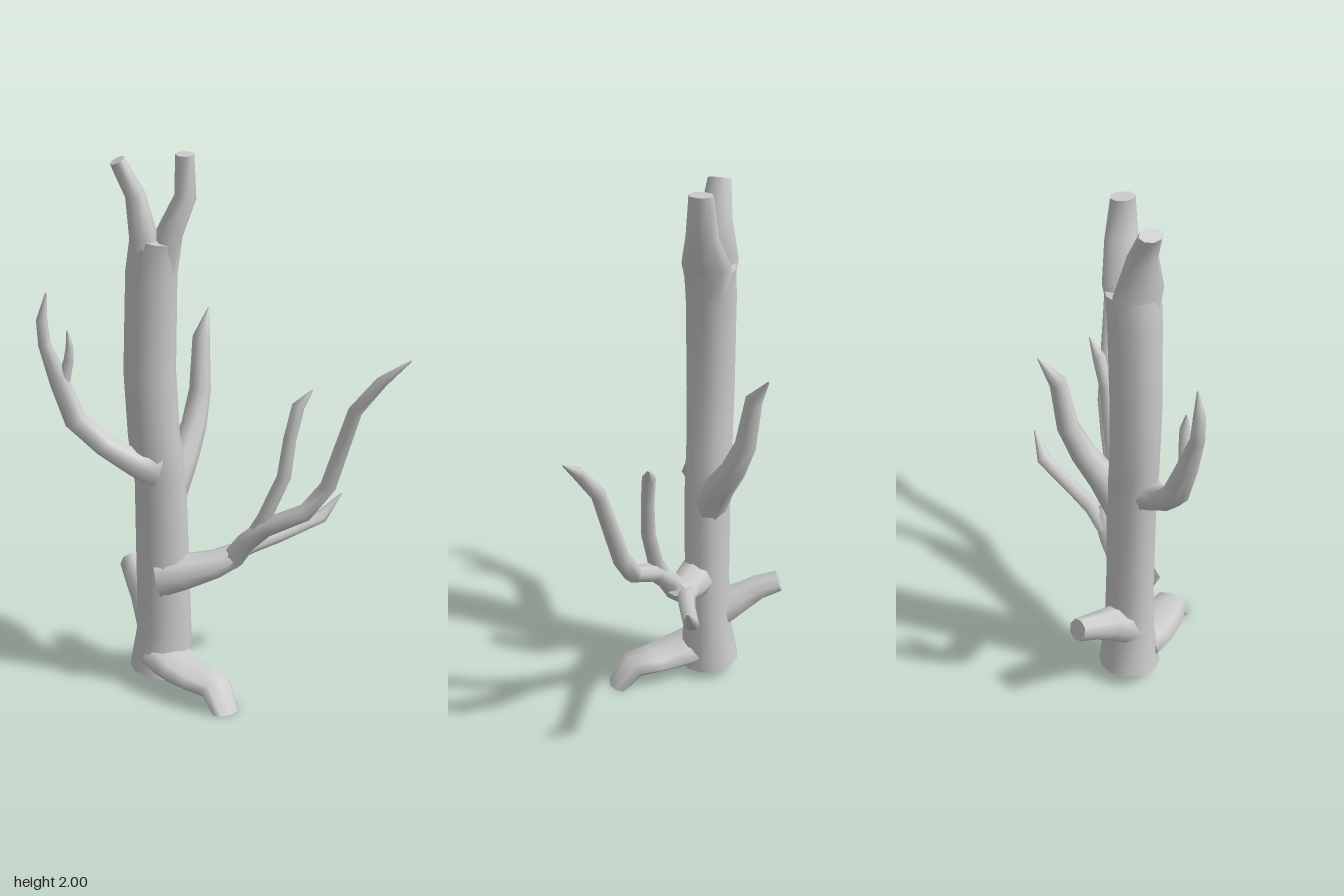
import * as THREE from 'three';
import { mergeGeometries } from 'three/addons/utils/BufferGeometryUtils.js';

const material = new THREE.MeshStandardMaterial({ color: 0xcccccc });

// Tapered limb swept through stations [x, y, z, radius along ref, radius across].
function limb(name, stations, { sides = 8, ref = [0, 0, 1], endDir = null } = {}) {
  const centres = stations.map(s => new THREE.Vector3(s[0], s[1], s[2]));
  const last = centres.length - 1;
  const positions = [], index = [];
  centres.forEach((c, i) => {
    const t = new THREE.Vector3();
    if (i > 0) t.add(c.clone().sub(centres[i - 1]).normalize());
    if (i < last) t.add(centres[i + 1].clone().sub(c).normalize());
    if (i === last && endDir) t.set(...endDir);
    t.normalize();
    const a = new THREE.Vector3(...ref).projectOnPlane(t).normalize();
    const b = t.clone().cross(a);
    const ra = stations[i][3], rb = stations[i][4] ?? ra;
    for (let j = 0; j < sides; j++) {
      const q = (j / sides) * Math.PI * 2;
      const p = c.clone().addScaledVector(a, Math.cos(q) * ra).addScaledVector(b, Math.sin(q) * rb);
      positions.push(p.x, p.y, p.z);
      if (i < last) {
        const k = (j + 1) % sides, lo = i * sides, hi = lo + sides;
        index.push(lo + j, lo + k, hi + k, lo + j, hi + k, hi + j);
      }
    }
  });
  const wall = makeGeometry(positions, index);
  // Flat end caps keep their own vertices so their rims stay crisp.
  const cap = (ring, flip) => {
    const pts = positions.slice(ring * sides * 3, (ring + 1) * sides * 3);
    const tri = [];
    for (let j = 1; j < sides - 1; j++) tri.push(...(flip ? [0, j + 1, j] : [0, j, j + 1]));
    return makeGeometry(pts, tri);
  };
  const mesh = new THREE.Mesh(mergeGeometries([wall, cap(0, true), cap(last, false)]), material);
  mesh.name = name;
  return mesh;
}

function makeGeometry(positions, index) {
  const g = new THREE.BufferGeometry();
  g.setAttribute('position', new THREE.Float32BufferAttribute(positions, 3));
  g.setIndex(index);
  g.computeVertexNormals();
  return g;
}

export function createModel() {
  const tree = new THREE.Group();
  tree.name = 'bareTree';

  // Trunk and its sawn-off fork
  tree.add(limb('trunk', [
    [-0.235, 0.05, -0.035, 0.115, 0.115],
    [-0.22, 0.21, -0.03, 0.092, 0.102],
    [-0.222, 0.42, -0.03, 0.086, 0.098],
    [-0.228, 0.8, -0.028, 0.088, 0.094],
    [-0.25, 0.98, -0.028, 0.088, 0.094],
    [-0.262, 1.22, -0.028, 0.09, 0.094],
    [-0.252, 1.58, -0.03, 0.094, 0.092],
    [-0.235, 1.70, -0.03, 0.096, 0.092],
  ], { sides: 12 }));
  tree.add(limb('forkRight', [
    [-0.275, 1.58, -0.03, 0.07, 0.045],
    [-0.279, 1.72, -0.03, 0.092, 0.05],
    [-0.305, 1.86, -0.03, 0.06, 0.036],
    [-0.365, 1.98, -0.025, 0.043, 0.028],
  ]));
  tree.add(limb('forkLeft', [
    [-0.205, 1.58, -0.03, 0.07, 0.045],
    [-0.188, 1.72, -0.03, 0.092, 0.048],
    [-0.131, 1.85, -0.03, 0.06, 0.039],
    [-0.132, 2.0, -0.025, 0.045, 0.033],
  ]));

  // Right-hand branch with a small twig
  tree.add(limb('rightBranch', [
    [-0.24, 0.86, 0.0, 0.075, 0.08],
    [-0.33, 0.89, 0.01, 0.062, 0.05],
    [-0.43, 0.955, 0.01, 0.058, 0.042],
    [-0.53, 1.05, 0.005, 0.052, 0.042],
    [-0.582, 1.2, 0.025, 0.038, 0.036],
    [-0.63, 1.34, 0.035, 0.028, 0.023],
    [-0.638, 1.43, 0.035, 0.024, 0.02],
    [-0.62, 1.53, 0.035, 0.003],
  ]));
  tree.add(limb('rightTwig', [
    [-0.578, 1.17, 0.02, 0.028],
    [-0.548, 1.28, 0.028, 0.023, 0.018],
    [-0.543, 1.33, 0.028, 0.019, 0.014],
    [-0.55, 1.39, 0.03, 0.003],
  ]));

  // Back branch, rising
  tree.add(limb('backBranch', [
    [-0.2, 0.75, -0.04, 0.07],
    [-0.14, 0.87, -0.1, 0.056],
    [-0.1, 0.97, -0.16, 0.047],
    [-0.076, 1.09, -0.21, 0.04],
    [-0.07, 1.28, -0.24, 0.032],
    [-0.04, 1.375, -0.3, 0.003],
  ], { ref: [1, 0, 0] }));

  // Left bough splitting into three branches
  tree.add(limb('leftBough', [
    [-0.24, 0.43, -0.01, 0.09, 0.085],
    [-0.14, 0.45, 0.0, 0.075, 0.07],
    [-0.03, 0.478, 0.0, 0.07, 0.052],
    [0.05, 0.515, 0.0, 0.06, 0.042],
    [0.09, 0.545, 0.0, 0.035, 0.025],
  ]));
  tree.add(limb('lowBranch', [
    [0.0, 0.495, -0.02, 0.045, 0.035],
    [0.11, 0.53, -0.045, 0.033, 0.028],
    [0.2, 0.55, -0.075, 0.03, 0.025],
    [0.375, 0.602, -0.14, 0.03, 0.025],
    [0.45, 0.69, -0.15, 0.003],
  ]));
  tree.add(limb('longBranch', [
    [0.03, 0.5, 0.01, 0.05, 0.04],
    [0.08, 0.575, 0.035, 0.042, 0.038],
    [0.15, 0.645, 0.065, 0.04, 0.036],
    [0.29, 0.715, 0.1, 0.038, 0.032],
    [0.37, 0.82, 0.115, 0.034, 0.03],
    [0.455, 1.12, 0.165, 0.028, 0.026],
    [0.54, 1.24, 0.205, 0.023, 0.022],
    [0.64, 1.32, 0.22, 0.003],
  ]));
  tree.add(limb('uprightBranch', [
    [0.1, 0.59, 0.04, 0.03],
    [0.145, 0.68, 0.06, 0.031, 0.027],
    [0.215, 0.84, 0.065, 0.027, 0.026],
    [0.235, 0.98, 0.06, 0.025, 0.024],
    [0.265, 1.1, 0.045, 0.025, 0.024],
    [0.318, 1.158, 0.03, 0.003],
  ]));

  // Broken stub at the back and a root reaching forward
  tree.add(limb('backStub', [
    [-0.24, 0.24, -0.03, 0.085],
    [-0.285, 0.305, -0.14, 0.062],
    [-0.318, 0.345, -0.21, 0.05],
    [-0.342, 0.372, -0.285, 0.042],
  ], { ref: [1, 0, 0] }));
  tree.add(limb('frontRoot', [
    [-0.23, 0.115, -0.01, 0.1, 0.06],
    [-0.16, 0.095, 0.08, 0.098, 0.046],
    [-0.1, 0.085, 0.15, 0.09, 0.035],
    [-0.04, 0.082, 0.215, 0.07, 0.042],
    [-0.005, 0.006, 0.262, 0.056, 0.034],
  ], { ref: [0.8, 0, -0.6], endDir: [0, -1, 0] }));

  return tree;
}
